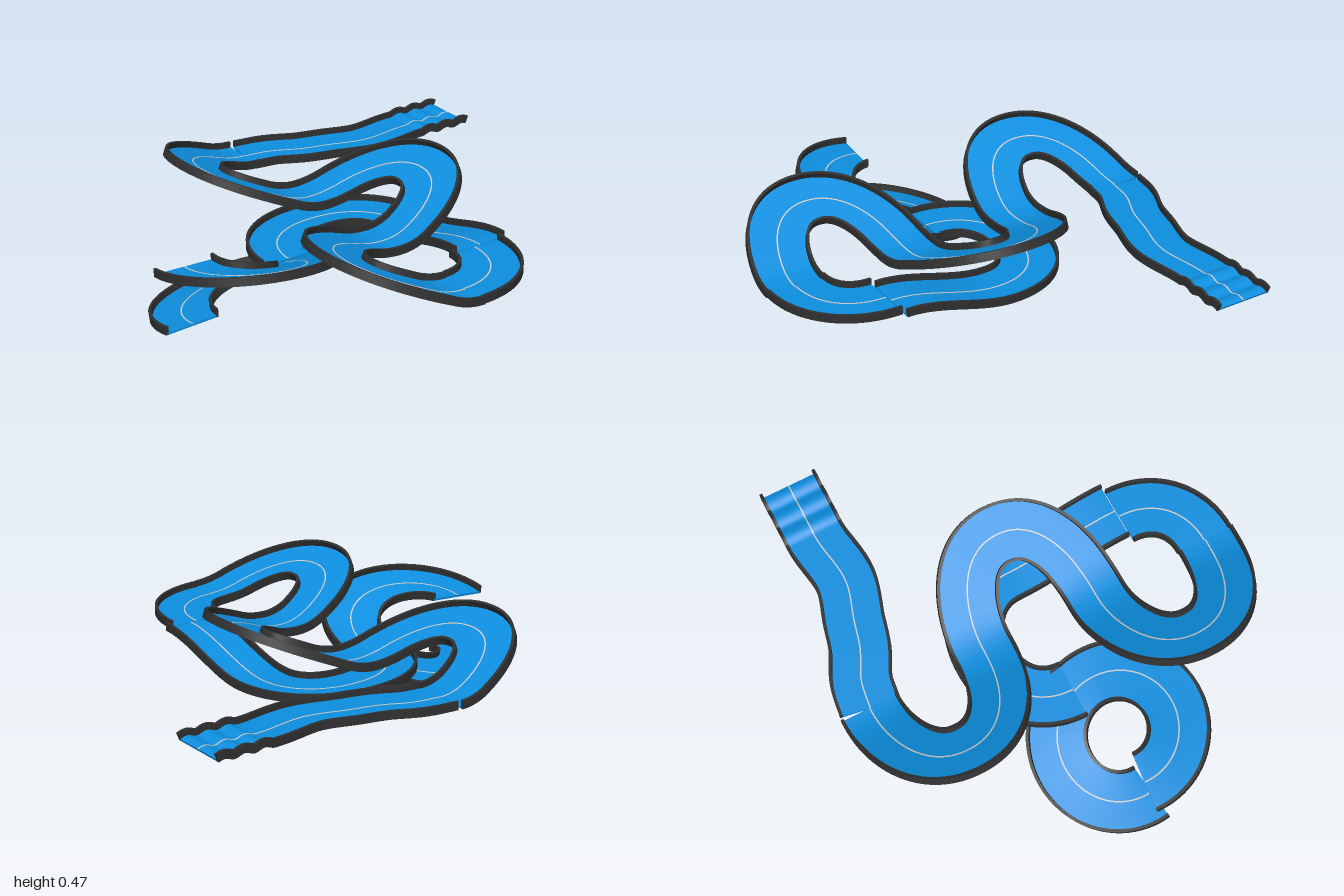
import * as THREE from 'three';

const HALF = 0.13;          // half of the track width
const BASE = 0.255;         // height of the upper level
const mat = (color) => new THREE.MeshStandardMaterial({ color, side: THREE.DoubleSide });

// cross-section rectangles: left, right, bottom, top
const profiles = {
  road: [-HALF + 0.006, HALF - 0.006, 0, 0.01],
  leftWall: [-HALF, -HALF + 0.013, 0, 0.036],
  rightWall: [HALF - 0.013, HALF, 0, 0.036],
  centreLine: [-0.003, 0.003, 0.009, 0.0115],
};

// sweep one rectangle along the surface given by plan(t) and height(x, z, t)
function sweep([l, r, b, top], plan, height, n) {
  const E = 1e-3;
  const surface = (t, o) => {
    const p = plan(t - E), q = plan(t + E), c = plan(t);
    const dx = q.x - p.x, dz = q.z - p.z, len = Math.hypot(dx, dz);
    const x = c.x - (dz / len) * o, z = c.z + (dx / len) * o;
    return new THREE.Vector3(x, height(x, z, t), z);
  };
  const point = (t, o, h) => {
    const across = surface(t, E).sub(surface(t, -E));
    const at = surface(t, o * 2 * E / across.length());
    const along = surface(t + E, 0).sub(surface(t - E, 0));
    return at.addScaledVector(across.cross(along).normalize(), h);
  };
  const corners = [[l, b], [r, b], [r, top], [l, top]];
  const pos = [], idx = [];
  corners.forEach((a, k) => {
    const c = corners[(k + 1) % 4], s = pos.length / 3;
    for (let i = 0; i <= n; i++) {
      pos.push(...point(i / n, ...a).toArray(), ...point(i / n, ...c).toArray());
      if (i < n) {
        const v = s + i * 2;
        idx.push(v, v + 2, v + 1, v + 1, v + 2, v + 3);
      }
    }
  });
  // end caps
  [0, 1].forEach((t) => {
    const s = pos.length / 3;
    corners.forEach((c) => pos.push(...point(t, ...c).toArray()));
    idx.push(...(t ? [s, s + 2, s + 1, s, s + 3, s + 2] : [s, s + 1, s + 2, s, s + 2, s + 3]));
  });
  const g = new THREE.BufferGeometry();
  g.setAttribute('position', new THREE.Float32BufferAttribute(pos, 3));
  g.setIndex(idx);
  g.computeVertexNormals();
  return g;
}

const pw = (v) => Math.sign(v) * Math.abs(v) ** 0.92;
// slightly squared elliptical arc, angle 0 at +x and turning towards +z
const arc = (cx, cz, a, b, from, to) => (t) => {
  const w = from + (to - from) * t;
  return { x: cx + a * pw(Math.cos(w)), z: cz + b * pw(Math.sin(w)) };
};

export function createModel() {
  const model = new THREE.Group();
  const mats = { road: mat(0x0d8fe0), wall: mat(0x303030), line: mat(0xf0f0f0) };

  function track(name, plan, height, n) {
    const group = new THREE.Group();
    group.name = name;
    for (const [part, profile] of Object.entries(profiles)) {
      const m = part === 'road' ? mats.road : part === 'centreLine' ? mats.line : mats.wall;
      const mesh = new THREE.Mesh(sweep(profile, plan, height, n), m);
      mesh.name = part;
      group.add(mesh);
    }
    model.add(group);
  }

  // winding straight with ripples at its far end; the curve runs a little
  // past both ends so that directions exist there
  const winding = new THREE.CatmullRomCurve3([
    [-0.66, -1.004], [-0.66, -0.86], [-0.66, -0.72], [-0.635, -0.5], [-0.683, -0.32],
    [-0.715, -0.2], [-0.773, -0.07], [-0.793, 0.054],
  ].map(([x, z]) => new THREE.Vector3(x, 0, z)));
  const ripple = (x, z) =>
    BASE + (z < -0.75 ? 0.006 * (1 - Math.cos((z + 0.75) * 2 * Math.PI / 0.09)) : 0);
  track('windingStraight', (t) => winding.getPoint(0.004 + 0.992 * t), ripple, 110);

  // three hairpins that climb away from the middle
  const climb = (x, z) => {
    const d = Math.abs(z - 0.05);
    return BASE + (d < 0.14 ? 1.5 * d * d : 0.03 + 0.42 * (d - 0.14));
  };
  [['leftHairpin', -0.53, 1], ['middleHairpin', 0, -1], ['rightHairpin', 0.53, 1]]
    .forEach(([name, cx, dir]) =>
      track(name, arc(cx, 0.05, 0.265, 0.39 * dir, Math.PI, 0), climb, 64));

  // level quarter turn behind the right hairpin
  track('quarterTurn', arc(0.525, 0.05, 0.265, 0.265, 0, -Math.PI / 2), () => BASE, 28);

  // ramp down to the lower level
  track('ramp', (t) => ({ x: 0.52 * (1 - t), z: -0.245 }),
    (x) => 0.15 + (BASE - 0.15) * THREE.MathUtils.smoothstep(x, 0, 0.52), 28);

  // level half turn under the middle hairpin
  track('lowerTurn', arc(0, 0.05, 0.265, 0.295, -Math.PI / 2, -Math.PI * 1.5), () => 0.15, 48);

  // banked spiral loop, open at the front
  const angle = (t) => (t * 2 - 1) * 3.24;
  track('spiralLoop',
    (t) => ({ x: 0.07 + 0.243 * Math.sin(angle(t)), z: 0.603 - 0.262 * Math.cos(angle(t)) }),
    (x, z, t) => 0.166 + 0.265 * (x - 0.07) + 0.12 * angle(t) / Math.PI, 96);

  return model;
}
